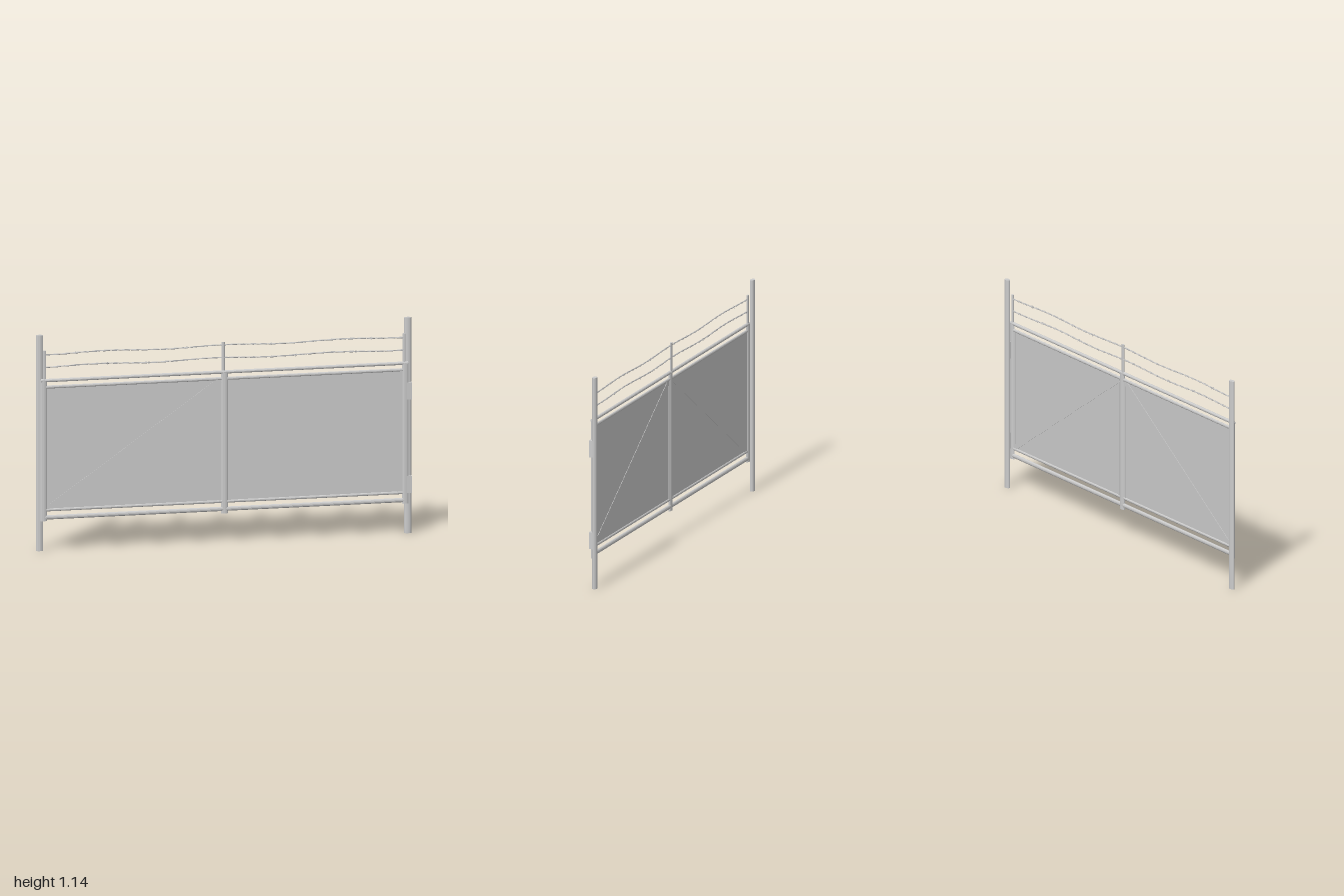
import * as THREE from 'three';

const steel = new THREE.MeshStandardMaterial({ color: 0xcccccc, flatShading: true });
const wireSteel = new THREE.MeshStandardMaterial({ color: 0xcccccc });
const GATE_Z = 0.012;

export function createModel() {
  const gate = new THREE.Group();
  gate.name = 'gate';

  const add = (name, geometry, x, y, z, material = steel) => {
    const mesh = new THREE.Mesh(geometry, material);
    mesh.name = name;
    mesh.position.set(x, y, z);
    gate.add(mesh);
    return mesh;
  };

  // Upright flattened tube between two heights
  const upright = (name, x, y0, y1, z, width, depth) => {
    const g = new THREE.CylinderGeometry(0.5, 0.5, y1 - y0, 12);
    g.scale(width, 1, depth);
    return add(name, g, x, (y0 + y1) / 2, z);
  };

  // Horizontal flattened tube centred on x = 0
  const rail = (name, length, y0, y1, depth) => {
    const g = new THREE.CylinderGeometry(0.5, 0.5, length, 12);
    g.rotateZ(Math.PI / 2);
    g.scale(1, y1 - y0, depth);
    return add(name, g, 0, (y0 + y1) / 2, GATE_Z);
  };

  for (const s of [-1, 1]) {
    const side = s > 0 ? 'left' : 'right';
    // Ground post, frame stile and wire holder
    upright(side + 'Post', s * 0.981, 0, 1.14, -0.006, 0.038, 0.025);
    upright(side + 'Stile', s * 0.963, 0.16, 0.905, GATE_Z, 0.036, 0.017);
    upright(side + 'WireHolder', s * 0.958, 0.88, 1.06, 0.011, 0.016, 0.01);

    // Infill sheet, its edge strips and the diagonal brace
    add(side + 'Panel', new THREE.BoxGeometry(0.94, 0.655, 0.003), s * 0.482, 0.543, GATE_Z);
    for (const x of [0.026, 0.941]) {
      add(side + 'PanelEdge', new THREE.BoxGeometry(0.014, 0.655, 0.007), s * x, 0.543, GATE_Z);
    }
    const [x0, y0, x1, y1] = [0.025, 0.86, 0.94, 0.226];
    const brace = add(side + 'Brace',
      new THREE.BoxGeometry(Math.hypot(x1 - x0, y1 - y0), 0.028, 0.007),
      s * (x0 + x1) / 2, (y0 + y1) / 2, GATE_Z);
    brace.rotation.z = s * Math.atan2(y1 - y0, x1 - x0);
  }

  // Middle stile and its wire holder
  upright('middleStile', 0, 0.155, 0.9, GATE_Z, 0.038, 0.017);
  upright('middleWireHolder', -0.007, 0.88, 1.06, 0.011, 0.019, 0.01);

  // Outer and inner rails
  rail('topRail', 1.955, 0.893, 0.911, 0.016);
  rail('panelTopRail', 1.92, 0.859, 0.876, 0.012);
  rail('panelBottomRail', 1.92, 0.21, 0.226, 0.012);
  rail('bottomRail', 1.93, 0.167, 0.19, 0.016);

  // Hinges
  for (const y of [0.26, 0.755]) {
    add('hinge', new THREE.BoxGeometry(0.034, 0.09, 0.02), 0.981, y, 0.01);
  }

  // Twisted, slightly sagging wires with short barbs
  const wires = [
    { y: 1.042, barbs: [-0.79, -0.2, 0.25, 0.78] },
    { y: 0.975, barbs: [-0.62, -0.4, 0.38, 0.7] },
  ];
  wires.forEach(({ y, barbs }, w) => {
    const height = (x) => y + 0.004 * Math.cos(x * 10 + w * 0.6);
    for (const phase of [0, Math.PI]) {
      const points = [];
      for (let i = 0; i <= 160; i++) {
        const x = -0.96 + (1.92 * i) / 160;
        const a = x * 60 + phase;
        points.push(new THREE.Vector3(x, height(x) + 0.002 * Math.cos(a), 0.011 + 0.002 * Math.sin(a)));
      }
      const curve = new THREE.CatmullRomCurve3(points);
      add('wire', new THREE.TubeGeometry(curve, 320, 0.0024, 6), 0, 0, 0, wireSteel);
    }
    for (const x of barbs) {
      for (const tilt of [0.5, -0.5]) {
        const barb = add('barb', new THREE.CylinderGeometry(0.0015, 0.0015, 0.016, 6), x, height(x), 0.011, wireSteel);
        barb.rotation.set(tilt, 0, tilt);
      }
    }
  });

  return gate;
}
